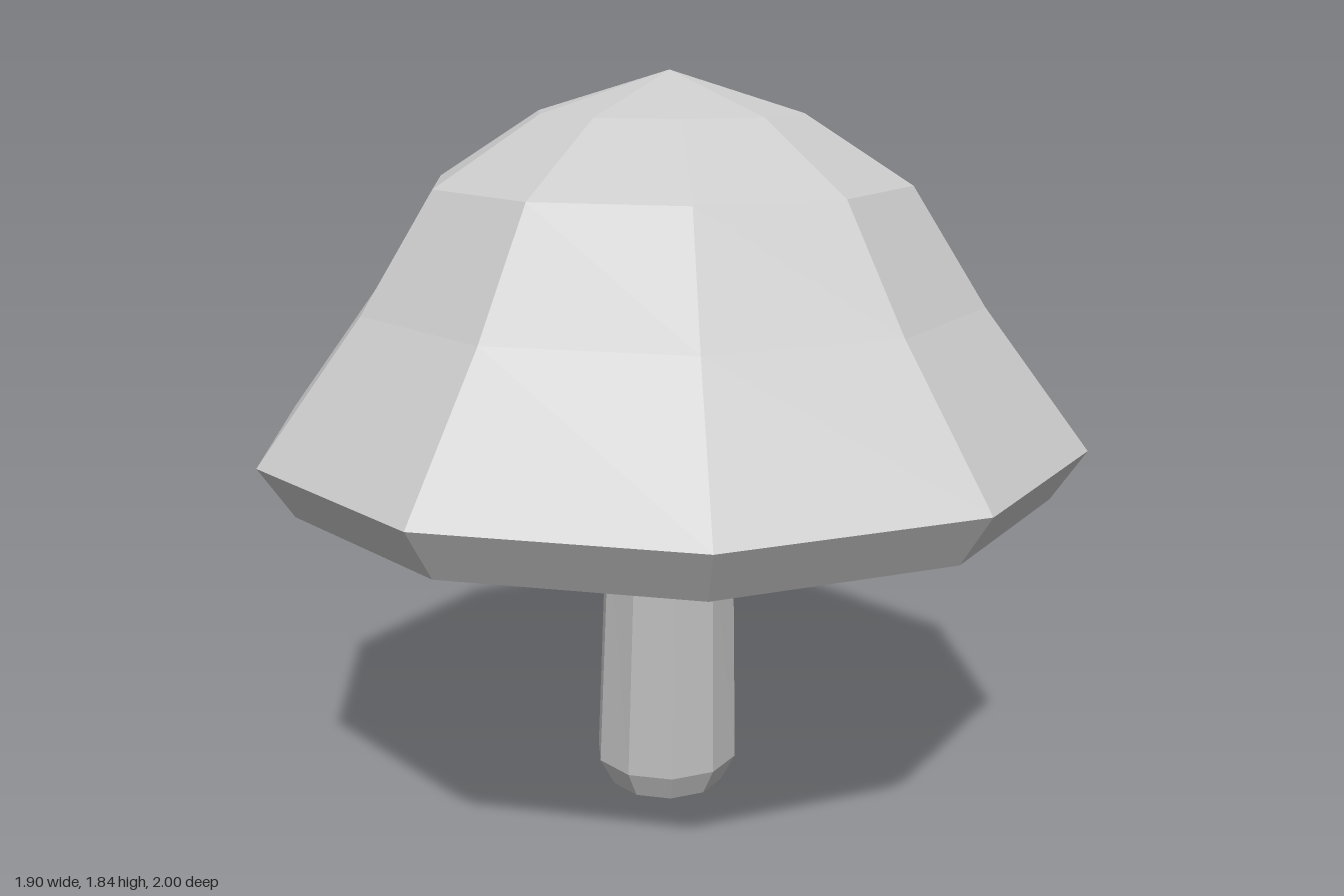
import * as THREE from 'three';

const SIDES = 10;

// Faceted body of revolution from [radius, y] pairs, listed from the underside up
function facetedLathe(name, profile) {
  const points = profile.map(([r, y]) => new THREE.Vector2(r, y));
  const mesh = new THREE.Mesh(
    new THREE.LatheGeometry(points, SIDES),
    new THREE.MeshStandardMaterial({ color: 0xcccccc, flatShading: true })
  );
  mesh.name = name;
  return mesh;
}

export function createModel() {
  const group = new THREE.Group();
  group.name = 'mushroom';

  // Cap: shallow hollow underside, inward-sloping rim, domed top
  group.add(facetedLathe('cap', [
    [0, 1.085], [0.4, 1.03], [0.67, 0.95], [0.92, 0.855],
    [1, 0.977], [0.75, 1.305], [0.575, 1.58], [0.32, 1.74], [0, 1.836],
  ]));

  // Stem: chamfered foot, leaning backward below a tilted bend
  const stem = facetedLathe('stem', [
    [0, 0], [0.148, 0], [0.186, 0.072], [0.163, 0.725], [0.163, 1.075],
  ]);
  const pos = stem.geometry.attributes.position;
  for (let i = 0; i < pos.count; i++) {
    const y = pos.getY(i), z = pos.getZ(i);
    if (y < 0.5) pos.setZ(i, z - 0.102);
    else if (y < 1) pos.setY(i, y - z * 0.22);
  }
  stem.geometry.computeVertexNormals();
  group.add(stem);

  return group;
}
